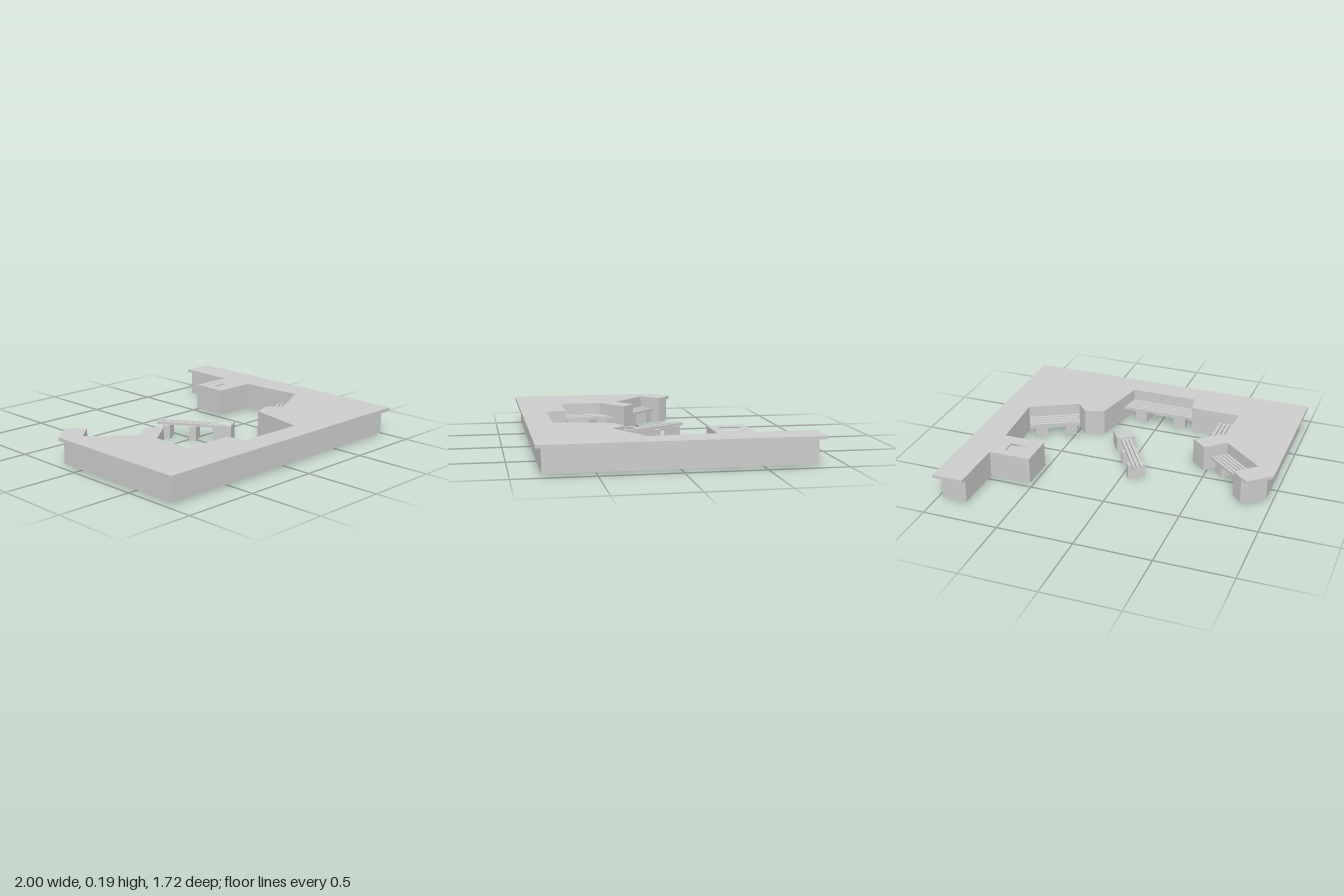
import * as THREE from 'three';

const material = new THREE.MeshStandardMaterial({ color: 0xcccccc, flatShading: true });

const BASE = 0.015, LIP = 0.17, TOP = 0.19;
const SEAT_LOW = 0.095, SEAT_TOP = 0.113;

// Prism standing on the ground plan points [x, z], from height y0 to y1
function prism(name, points, y0, y1, hole) {
  const toShape = (p) => p.map(([x, z]) => new THREE.Vector2(x, -z));
  const shape = new THREE.Shape(toShape(points));
  if (hole) shape.holes.push(new THREE.Path(toShape(hole)));
  const geometry = new THREE.ExtrudeGeometry(shape, { depth: y1 - y0, bevelEnabled: false });
  geometry.rotateX(-Math.PI / 2).translate(0, y0, 0);
  const mesh = new THREE.Mesh(geometry, material);
  mesh.name = name;
  return mesh;
}

const mix = (a, b, t) => [a[0] + (b[0] - a[0]) * t, a[1] + (b[1] - a[1]) * t];

// Part of a four-cornered plan: u runs along the bench, v from front to back
function patch([f0, f1, b1, b0], u0, u1, v0, v1) {
  const at = (u, v) => mix(mix(f0, f1, u), mix(b0, b1, u), v);
  return [at(u0, v0), at(u1, v0), at(u1, v1), at(u0, v1)];
}

// Slatted bench on two block legs, filling the four-cornered plan
function bench(name, corners, legSpans, slats = 5, legV = [0.06, 0.97], legBase = BASE) {
  const group = new THREE.Group();
  group.name = name;
  const gap = 0.32;
  const pitch = 1 / (slats - gap);
  for (let i = 0; i < slats; i++) {
    const v = i * pitch;
    group.add(prism('slat', patch(corners, 0, 1, v, v + pitch * (1 - gap)), SEAT_LOW, SEAT_TOP));
  }
  for (const [u0, u1] of legSpans) {
    group.add(prism('benchLeg', patch(corners, u0, u1, ...legV), legBase, SEAT_LOW));
  }
  return group;
}

function rect(cx, cz, w, d) {
  const x = w / 2, z = d / 2;
  return [[cx - x, cz - z], [cx + x, cz - z], [cx + x, cz + z], [cx - x, cz + z]];
}

export function createModel() {
  const model = new THREE.Group();
  model.name = 'planterWithBenches';

  // Ground plan of the long planter, with notches for the benches
  const outline = [
    [-1, 0.855], [-1, -0.14], [-0.86, -0.265], [-0.815, -0.237], [-0.75, -0.175],
    [-0.877, -0.06], [-0.615, 0.165], [-0.485, 0.06], [-0.39, 0.14], [-0.58, 0.285],
    [-0.58, 0.56], [-0.25, 0.56], [-0.23, 0.69], [0.222, 0.69], [0.25, 0.56],
    [0.305, 0.305], [0.43, 0.265], [0.51, 0.35], [0.818, 0.185], [0.793, -0.24],
    [0.515, -0.24], [0.515, -0.475], [0.793, -0.475], [0.793, -0.86], [1, -0.86], [1, 0.855],
  ];
  const clamp = THREE.MathUtils.clamp;
  const inset = outline.map(([x, z]) => [clamp(x, -0.96, 0.96), clamp(z, -0.82, 0.82)]);
  inset[1] = [-0.96, -0.14];
  inset[2] = [-0.86, -0.235];

  // Walls, overhanging top slab and the sunken square bed
  const bed = rect(0.652, -0.363, 0.15, 0.13);
  model.add(prism('planterBody', inset, BASE, LIP, bed));
  model.add(prism('planterTop', outline, LIP, TOP, bed));
  model.add(prism('sunkenBed', bed, BASE, 0.16));

  // Benches set into the planter
  model.add(bench('cornerBench',
    [[-0.79, -0.14], [-0.53, 0.085], [-0.615, 0.165], [-0.877, -0.06]], [[0.08, 0.28], [0.68, 0.88]]));
  model.add(bench('sideBench',
    [[-0.45, 0.21], [-0.45, 0.56], [-0.58, 0.56], [-0.58, 0.285]], [[0.1, 0.3], [0.7, 0.92]]));
  model.add(bench('frontBench',
    [[-0.25, 0.56], [0.25, 0.56], [0.222, 0.69], [-0.23, 0.69]], [[0.1, 0.28], [0.67, 0.84]]));
  model.add(bench('angledBench',
    [[0.46, 0.235], [0.76, 0.08], [0.818, 0.185], [0.51, 0.35]], [[0.06, 0.3], [0.66, 0.9]]));

  // Free-standing bench with a small planter box at its end; length runs along z
  const island = new THREE.Group();
  island.name = 'islandBench';
  const plan = [[-0.034, -0.445], [-0.034, -0.06], [0.034, -0.06], [0.034, -0.445]];
  island.add(bench('islandSeat', plan, [[0.12, 0.24], [0.58, 0.7]], 3, [-0.32, 1.32], 0));
  const boxBed = rect(0, 0, 0.075, 0.075);
  island.add(prism('islandPlanter', rect(0, 0, 0.122, 0.122), BASE, 0.12, boxBed));
  island.add(prism('islandBed', boxBed, BASE, 0.1));
  island.position.set(0.112, 0, 0.179);
  island.rotation.y = Math.atan2(0.53, 0.85);
  model.add(island);

  return model;
}
